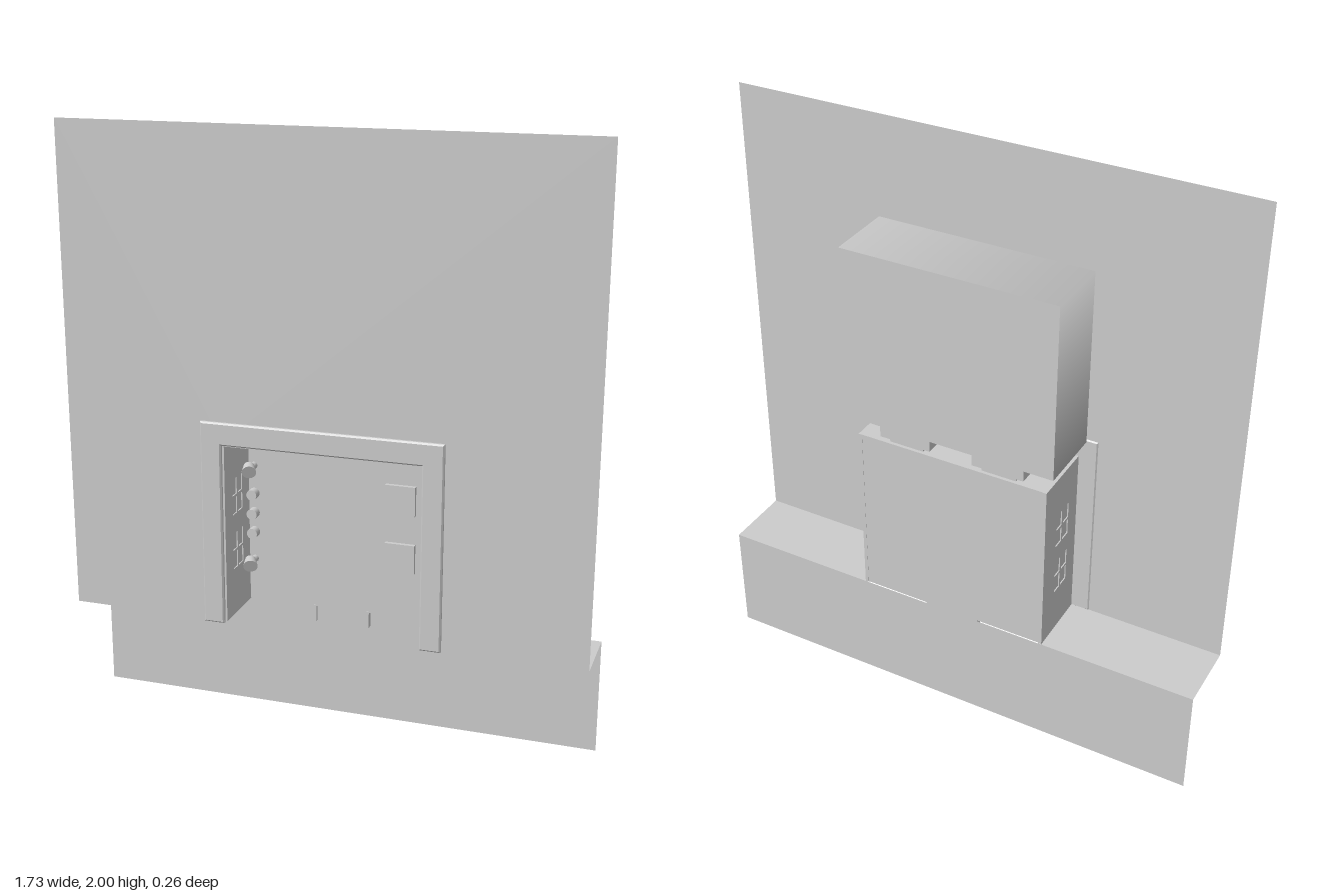
import * as THREE from 'three';

const grey = new THREE.MeshStandardMaterial({ color: 0xcccccc, side: THREE.DoubleSide });
grey.name = 'plainGrey';

export function createModel() {
  const model = new THREE.Group();
  const add = (name, geometry, x = 0, y = 0, z = 0) => {
    const mesh = new THREE.Mesh(geometry, grey);
    mesh.name = name;
    mesh.position.set(x, y, z);
    model.add(mesh);
    return mesh;
  };
  // Box given by its limits on each axis
  const box = (name, x0, x1, y0, y1, z0, z1) => add(name,
    new THREE.BoxGeometry(x1 - x0, y1 - y0, z1 - z0), (x0 + x1) / 2, (y0 + y1) / 2, (z0 + z1) / 2);
  const outline = (points) => points.map(([x, y]) => new THREE.Vector2(x, y));
  const rect = (x0, x1, y0, y1) => outline([[x0, y0], [x1, y0], [x1, y1], [x0, y1]]);

  const W = 0.867, STEP = 0.388, FRONT = 0.119, BACK = -0.113;

  // Upper wall sheet with the open doorway along its lower edge
  add('upperWall', new THREE.ShapeGeometry(new THREE.Shape(outline([
    [-W, STEP], [-0.33, STEP], [-0.33, 1], [0.33, 1], [0.33, STEP], [W, STEP], [W, 2], [-W, 2],
  ]))), 0, 0, FRONT);

  // Lower wall sheet, set back, and the ledges joining it to the upper wall
  add('lowerWall', new THREE.PlaneGeometry(2 * W, STEP), 0, STEP / 2, BACK);
  for (const s of [-1, 1]) {
    const ledge = new THREE.PlaneGeometry(W - 0.33, FRONT - BACK).rotateX(-Math.PI / 2);
    add('ledge', ledge, s * (W + 0.33) / 2, STEP, (FRONT + BACK) / 2);
  }

  // Frame around the opening
  const frame = new THREE.Shape(outline([
    [-0.4, 0.385], [-0.33, 0.385], [-0.33, 0.995], [0.33, 0.995],
    [0.33, 0.385], [0.4, 0.385], [0.4, 1.07], [-0.4, 1.07],
  ]));
  add('doorFrame', new THREE.ExtrudeGeometry(frame, {
    depth: 0.008, bevelEnabled: true, bevelSize: 0.005, bevelThickness: 0.005, bevelOffset: -0.005, bevelSegments: 1,
  }), 0, 0, 0.12);

  // Recessed chamber: back panel with its lower tab, ceiling and side walls
  box('backPanel', -0.325, 0.325, 0.39, 1, -0.111, -0.092);
  box('backTab', -0.09, 0.09, 0.335, 0.39, -0.111, -0.1);
  for (const s of [-1, 1]) box('tabEdge', s * 0.092 - 0.005, s * 0.092 + 0.005, 0.335, 0.395, -0.111, -0.09);
  box('ceiling', -0.325, 0.325, 0.99, 1, -0.1, 0.119);

  const windowRows = [0.735, 0.547];
  for (const s of [-1, 1]) {
    // Shape x runs along -z after the turn
    const side = new THREE.Shape(rect(-0.119, 0.112, 0.388, 1));
    for (const y of windowRows) side.holes.push(new THREE.Path(rect(-0.055, 0.03, y, y + 0.122)));
    const geometry = new THREE.ExtrudeGeometry(side, { depth: 0.012, bevelEnabled: false });
    geometry.rotateY(Math.PI / 2);
    add('sideWall', geometry, s * 0.33 - 0.006);
    // Recessed panes with crossing bars
    for (const y of windowRows) {
      const x = s * 0.33;
      box('windowPane', x - 0.002, x + 0.002, y, y + 0.122, -0.03, 0.055);
      box('windowPost', x - 0.006, x + 0.006, y, y + 0.122, 0.008, 0.017);
      box('windowBar', x - 0.006, x + 0.006, y + 0.056, y + 0.065, -0.03, 0.055);
    }
  }

  // Square plates and round knobs on the back panel
  for (const y of [0.75, 0.55]) box('squarePlate', 0.152, 0.253, y, y + 0.1, -0.093, -0.078);
  const knob = (name, x, y, radius, length) => add(name,
    new THREE.CylinderGeometry(radius, radius, length, 20).rotateX(Math.PI / 2), x, y, -0.092 + length / 2);
  for (const y of [0.768, 0.7, 0.632]) knob('leftKnob', -0.305, y, 0.018, 0.03);
  for (const y of [0.832, 0.768, 0.632, 0.566]) knob('rightKnob', 0.297, y, 0.018, 0.02);
  knob('cornerKnob', 0.3, 0.968, 0.012, 0.02);

  // Tilted lamps on short stems
  for (const [x, y] of [[-0.305, 0.865], [-0.305, 0.535], [-0.137, 0.967], [0.13, 0.967]]) {
    knob('lampStem', x, y, 0.012, 0.035);
    const lamp = add('lamp', new THREE.CylinderGeometry(0.024, 0.018, 0.035, 20).rotateX(Math.PI / 2), x, y, -0.045);
    lamp.rotation.set(0.35, x < 0 ? 0.35 : -0.35, 0);
  }

  // Mounting blocks between the ceiling and the upper housing
  for (const s of [-1, 1]) {
    box('mountBlock', s * 0.165 - 0.09, s * 0.165 + 0.09, 1.016, 1.07, -0.11, 0.085);
    box('mountNeck', s * 0.165 - 0.06, s * 0.165 + 0.06, 1, 1.016, -0.1, 0.035);
  }

  // Upper housing: four sides shaded smoothly around the corners, flat ends
  const housing = new THREE.CylinderGeometry(Math.SQRT1_2, Math.SQRT1_2, 1, 4, 1, false, Math.PI / 4);
  housing.rotateX(Math.PI / 2).scale(0.73, 0.6, 0.233);
  add('upperHousing', housing, 0, 1.37, -0.0135);

  return model;
}
